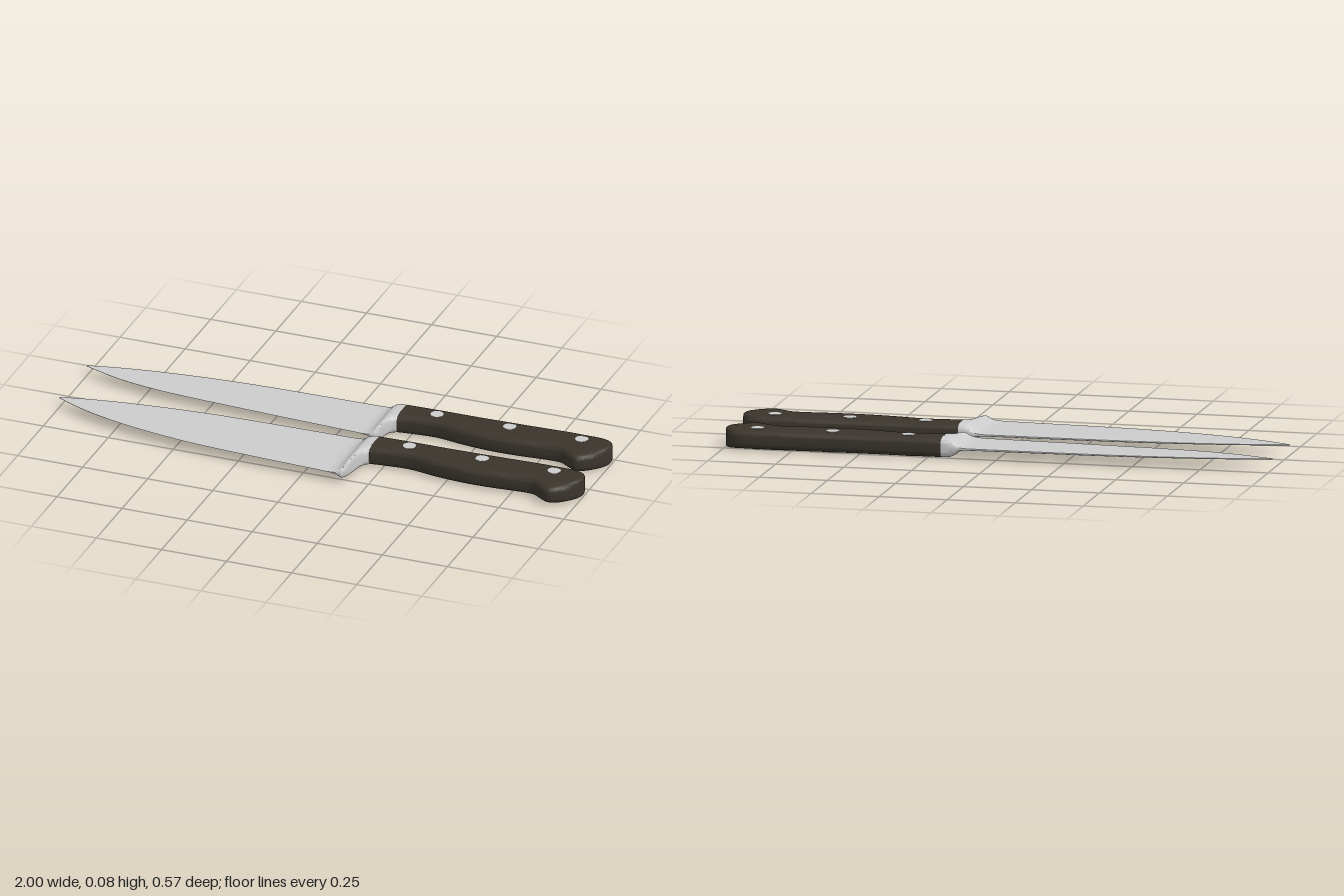
import * as THREE from 'three';
import { toCreasedNormals } from 'three/addons/utils/BufferGeometryUtils.js';

const steel = new THREE.MeshStandardMaterial({ color: 0xcccccc });
const wood = new THREE.MeshStandardMaterial({ color: 0x3a342c });
const RING = 40;
const MID_Y = 0.04;

// Each row is [x, spine z, edge z, half thickness at spine, half thickness at edge].
// Rows are splined along x and skinned with rounded-rectangle sections.
function loft(rows, steps) {
  const column = (k) => new THREE.SplineCurve(rows.map((r) => new THREE.Vector2(r[0], r[k])));
  const curves = [1, 2, 3, 4].map(column);
  const pos = [], idx = [];
  const soft = (v) => Math.sign(v) * Math.sqrt(Math.abs(v));
  for (let i = 0; i <= steps; i++) {
    const pts = curves.map((c) => c.getPoint(i / steps));
    const [spine, edge, hSpine, hEdge] = pts.map((p) => p.y);
    for (let j = 0; j < RING; j++) {
      const a = (j / RING) * Math.PI * 2;
      const u = 0.5 - 0.5 * soft(Math.cos(a));
      const h = soft(Math.sin(a)) * THREE.MathUtils.lerp(hSpine, hEdge, u);
      pos.push(pts[0].x, MID_Y + h, THREE.MathUtils.lerp(spine, edge, u));
    }
  }
  for (let i = 0; i < steps; i++) {
    for (let j = 0; j < RING; j++) {
      const a = i * RING + j, b = i * RING + (j + 1) % RING;
      idx.push(a, b, a + RING, b, b + RING, a + RING);
    }
  }
  // end caps
  const first = rows[0], last = rows[rows.length - 1], c = pos.length / 3;
  pos.push(first[0], MID_Y, (first[1] + first[2]) / 2, last[0], MID_Y, (last[1] + last[2]) / 2);
  for (let j = 0; j < RING; j++) {
    const k = (j + 1) % RING, e = steps * RING;
    idx.push(c, k, j, c + 1, e + j, e + k);
  }
  const geo = new THREE.BufferGeometry();
  geo.setAttribute('position', new THREE.Float32BufferAttribute(pos, 3));
  geo.setIndex(idx);
  return toCreasedNormals(geo, 0.7);
}

function addMesh(group, name, geo, mat) {
  const mesh = new THREE.Mesh(geo, mat);
  mesh.name = name;
  group.add(mesh);
  return mesh;
}

const bladeX = [-1, -0.95, -0.85, -0.72, -0.56, -0.4, -0.18, 0.08];
const bladeSpine = [0.088, 0.075, 0.055, 0.036, 0.02, 0.01, 0.005, 0.002];

const handleRows = [
  [0.2, 0.002, 0.12], [0.26, 0.001, 0.113], [0.35, 0, 0.108], [0.457, -0.002, 0.127],
  [0.565, -0.005, 0.138], [0.67, -0.008, 0.137], [0.77, -0.011, 0.129], [0.83, -0.013, 0.13],
  [0.865, -0.014, 0.151], [0.9, -0.015, 0.172], [0.93, -0.014, 0.165], [0.96, -0.007, 0.139],
  [0.984, 0.01, 0.104], [0.995, 0.028, 0.08, 0.034], [1, 0.05, 0.058, 0.029],
].map(([x, s, e, h = 0.037]) => [x, s, e, h, h]);

function knife(name, edge, heel) {
  const g = new THREE.Group();
  g.name = name;

  // blade: thick along the spine, ground thin towards the cutting edge
  const blade = bladeX.map((x, i) => [x, bladeSpine[i], edge[i], 0.002 + 0.0007 * i, 0.0012]);
  addMesh(g, 'blade', loft(blade, 56), steel);

  // bolster: flares out of the blade, then sweeps up from the heel to the handle
  const drop = heel - 0.12;
  const bolster = [
    [0.08, 0.002, edge[7], 0.0069, 0.0012],
    [0.112, 0.002, heel - 0.002, 0.008, 0.003],
    [0.134, 0.002, heel, 0.013, 0.009],
    [0.148, 0.002, heel, 0.023, 0.018],
    [0.157, 0.002, heel - 0.003, 0.032, 0.025],
    [0.165, 0.002, 0.12 + drop * 0.83, 0.036, 0.028],
    [0.172, 0.002, 0.12 + drop * 0.42, 0.037, 0.032],
    [0.182, 0.002, 0.12 + drop * 0.15, 0.037, 0.035],
    [0.201, 0.002, 0.12, 0.037, 0.037],
  ];
  addMesh(g, 'bolster', loft(bolster, 40), steel);

  // handle with hooked butt
  addMesh(g, 'handle', loft(handleRows, 84), wood);

  // rivets pass through both faces
  for (const [x, z] of [[0.329, 0.051], [0.607, 0.047], [0.882, 0.043]]) {
    const rivet = addMesh(g, 'rivet', new THREE.CylinderGeometry(0.024, 0.024, 0.0752, 28), steel);
    rivet.position.set(x, MID_Y, z);
  }
  return g;
}

export function createModel() {
  const model = new THREE.Group();
  model.name = 'knifePair';
  const wide = knife('wideKnife', [0.092, 0.118, 0.16, 0.198, 0.23, 0.251, 0.266, 0.279], 0.283);
  const narrow = knife('narrowKnife', [0.092, 0.112, 0.145, 0.171, 0.186, 0.196, 0.209, 0.222], 0.227);
  narrow.position.z = -0.268;
  model.add(wide, narrow);
  model.position.y = -0.003;
  const root = new THREE.Group();
  root.name = 'knives';
  root.add(model);
  return root;
}
